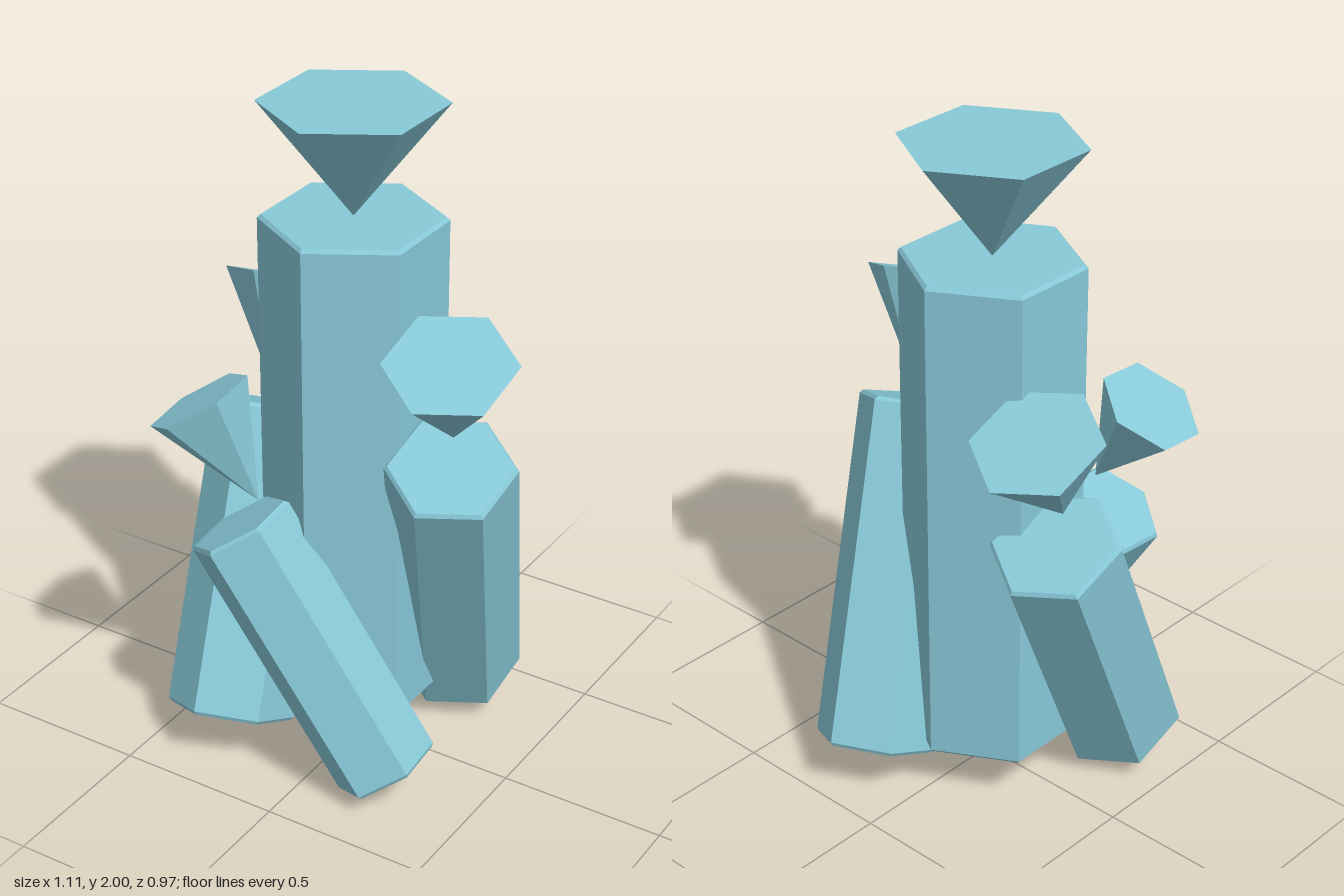
import * as THREE from 'three';

const crystalMat = new THREE.MeshStandardMaterial({ color: 0x88c9d8 });
crystalMat.name = 'paleBlueCrystal';

// Six-sided faceted solid from a profile of [radius, height] points
function hexSolid(profile, twist) {
  const pts = profile.map(([r, y]) => new THREE.Vector2(r, y));
  const geo = new THREE.LatheGeometry(pts, 6).toNonIndexed();
  geo.rotateY(twist);
  geo.computeVertexNormals();
  return geo;
}

const TIP_HEIGHT = 0.33;
const BEVEL = 0.01;

// Each crystal: shaft from bottom to top, and a loose inverted tip starting at apex
const crystals = [
  { name: 'mainCrystal', r: 0.263, twist: 0,
    bottom: [-0.04, 0.16, -0.022], top: [-0.04, 1.67, -0.022], apex: [-0.04, 1.67, -0.022] },
  { name: 'rightCrystal', r: 0.189, twist: -0.06,
    bottom: [-0.285, 0.115, 0.278], top: [-0.37, 0.945, -0.13], apex: [-0.36, 1.02, -0.085] },
  { name: 'frontCrystal', r: 0.157, twist: 0.04,
    bottom: [0.23, 0.075, 0.225], top: [-0.215, 0.805, 0.307], apex: [-0.155, 0.895, 0.295] },
  { name: 'leftCrystal', r: 0.186, twist: -0.08,
    bottom: [0.155, 0.118, -0.317], top: [0.342, 1.05, 0.085], apex: [0.325, 1.12, 0.045] },
];

function makeCrystal({ name, r, twist, bottom, top, apex }) {
  const group = new THREE.Group();
  group.name = name;
  const base = new THREE.Vector3(...bottom);
  const axis = new THREE.Vector3(...top).sub(base);
  const len = axis.length();
  axis.normalize();
  const tilt = new THREE.Euler(Math.atan2(axis.z, axis.y), 0, -Math.asin(axis.x));

  // Shaft with narrow bevels at both ends
  const shaft = new THREE.Mesh(hexSolid([
    [0, 0], [r - BEVEL, 0], [r, BEVEL], [r, len - BEVEL], [r - BEVEL, len], [0, len],
  ], twist), crystalMat);
  shaft.name = name + 'Shaft';
  shaft.position.copy(base);
  shaft.rotation.copy(tilt);

  // Inverted pyramid tip
  const tip = new THREE.Mesh(hexSolid([[0, 0], [r, TIP_HEIGHT], [0, TIP_HEIGHT]], twist), crystalMat);
  tip.name = name + 'Tip';
  tip.position.set(...apex);
  tip.rotation.copy(tilt);

  group.add(shaft, tip);
  return group;
}

export function createModel() {
  const model = new THREE.Group();
  model.name = 'crystalCluster';
  crystals.forEach((c) => model.add(makeCrystal(c)));
  return model;
}
